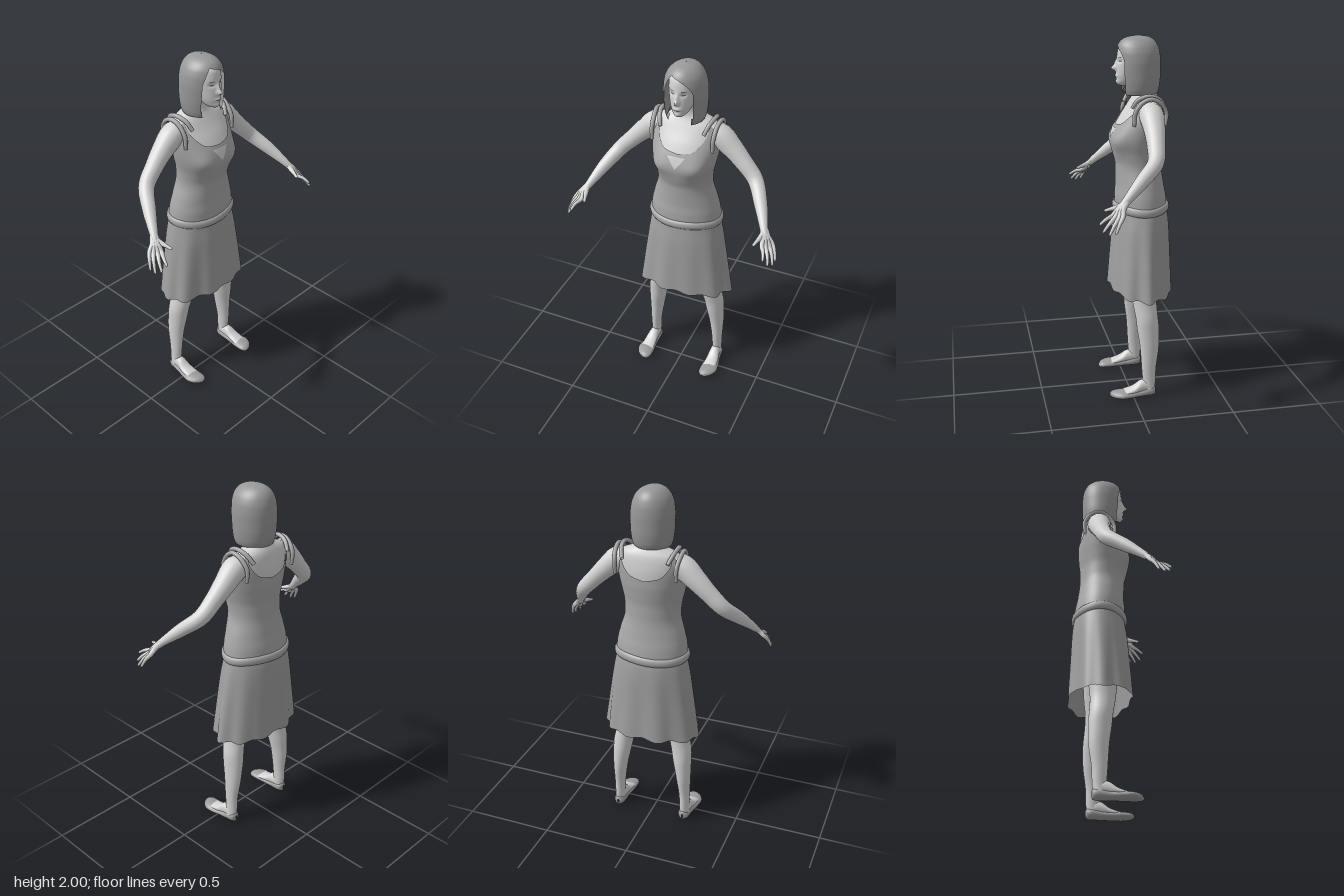
import * as THREE from 'three';

const mat = (name, color, side = THREE.FrontSide) =>
  Object.assign(new THREE.MeshStandardMaterial({ color, side }), { name });

// Smooth interpolation through rows [t, a, b, ...] with limited slopes
function interp(rows, t) {
  const n = rows.length;
  t = Math.min(Math.max(t, rows[0][0]), rows[n - 1][0]);
  let i = 0;
  while (i < n - 2 && t > rows[i + 1][0]) i++;
  const h = rows[i + 1][0] - rows[i][0], s = (t - rows[i][0]) / h;
  const sec = (k, j) => (rows[k + 1][j] - rows[k][j]) / (rows[k + 1][0] - rows[k][0]);
  const slope = (k, j) => {
    if (k === 0) return sec(0, j);
    if (k === n - 1) return sec(n - 2, j);
    const a = sec(k - 1, j), b = sec(k, j);
    return a * b <= 0 ? 0 : (2 * a * b) / (a + b);
  };
  return rows[0].slice(1).map((_, q) => {
    const j = q + 1, p0 = rows[i][j], p1 = rows[i + 1][j];
    return p0 * (1 + 2 * s) * (1 - s) ** 2 + slope(i, j) * h * s * (1 - s) ** 2
      + p1 * s * s * (3 - 2 * s) + slope(i + 1, j) * h * s * s * (s - 1);
  });
}

// Surface from fn(u, v) -> [x, y, z]; u runs around, v upward
function grid(fn, nu, nv, closed = true) {
  const pos = [], idx = [], w = closed ? nu : nu + 1;
  for (let j = 0; j <= nv; j++)
    for (let i = 0; i < w; i++) pos.push(...fn(i / nu, j / nv));
  for (let j = 0; j < nv; j++)
    for (let i = 0; i < nu; i++) {
      const a = j * w + i, b = j * w + (i + 1) % w;
      idx.push(a, b, b + w, a, b + w, a + w);
    }
  const g = new THREE.BufferGeometry();
  g.setAttribute('position', new THREE.Float32BufferAttribute(pos, 3));
  g.setIndex(idx);
  g.computeVertexNormals();
  return g;
}

// Point on a body of rings [y, halfWidth, zFront, zBack, centreX]; angle 0 faces front
function ringPoint(rings, y, th, off = 0, scale = 1) {
  const [rx, zf, zb, cx = 0] = interp(rings, y), cz = (zf + zb) / 2;
  return [cx + (rx * scale + off) * Math.sin(th), y, cz + ((zf - zb) / 2 * scale + off) * Math.cos(th)];
}
const loft = (rings, nu = 32, nv = 40) => grid((u, v) =>
  ringPoint(rings, THREE.MathUtils.lerp(rings[0][0], rings.at(-1)[0], v), u * Math.PI * 2), nu, nv);

// Tapered tube through points [x, y, z, radius]
function limb(pts, seg = 20, sides = 12) {
  const curve = new THREE.CatmullRomCurve3(pts.map(p => new THREE.Vector3(p[0], p[1], p[2])));
  const g = new THREE.TubeGeometry(curve, seg, 1, sides);
  const radii = pts.map((p, i) => [i / (pts.length - 1), p[3]]);
  const P = g.attributes.position, v = new THREE.Vector3();
  for (let i = 0; i <= seg; i++) {
    const c = curve.getPointAt(i / seg), r = interp(radii, curve.getUtoTmapping(i / seg))[0];
    for (let j = 0; j <= sides; j++) {
      const k = i * (sides + 1) + j;
      v.fromBufferAttribute(P, k).sub(c).multiplyScalar(r).add(c);
      P.setXYZ(k, v.x, v.y, v.z);
    }
  }
  return g;
}

const BODY = [
  [1.0, .19, .05, -.21], [1.07, .195, .055, -.215], [1.13, .19, .055, -.21], [1.2, .174, .05, -.197],
  [1.31, .146, .052, -.185], [1.37, .15, .066, -.185], [1.44, .165, .078, -.192], [1.5, .176, .064, -.197],
  [1.56, .182, .035, -.197], [1.62, .18, -.005, -.19], [1.66, .16, -.03, -.18], [1.68, .115, -.042, -.17],
  [1.7, .075, -.05, -.16], [1.73, .055, -.052, -.152], [1.8, .05, -.05, -.15]];
const HEAD = [
  [1.735, .006, .03, .0], [1.742, .026, .046, -.03], [1.76, .043, .052, -.06], [1.8, .061, .055, -.1],
  [1.85, .073, .053, -.14], [1.89, .078, .05, -.155], [1.93, .074, .043, -.155], [1.96, .058, .022, -.14], [1.985, .01, -.05, -.07]];
const LEG = [
  [.03, .03, -.05, -.12, .207], [.08, .028, -.055, -.128, .205], [.15, .03, -.05, -.13, .204], [.3, .042, -.04, -.148, .196],
  [.4, .052, -.026, -.15, .186], [.46, .057, -.02, -.145, .18], [.55, .058, -.005, -.14, .162], [.65, .062, .005, -.15, .15], [.95, .08, .02, -.17, .1]];
// Feet run along z: [z, halfWidth, -bottom, -top, centreX]
const FOOT = [
  [-.12, .02, -.02, -.05, .205], [-.08, .029, -.02, -.1, .205], [-.05, .031, -.02, -.098, .206],
  [0, .037, -.02, -.066, .209], [.06, .04, -.02, -.043, .208], [.1, .02, -.02, -.03, .2]];
const SHOE = [
  [-.131, .004, -.02, -.045, .205], [-.126, .022, -.005, -.058, .205], [-.1, .034, 0, -.06, .205], [-.04, .037, 0, -.047, .208],
  [.02, .046, 0, -.044, .212], [.06, .051, 0, -.046, .212], [.1, .043, -.002, -.042, .205], [.124, .024, -.006, -.034, .197], [.133, .004, -.014, -.022, .194]];
const SKIRT = [
  [.57, .277, .1, -.248], [.8, .245, .085, -.24], [.95, .222, .074, -.235], [1.03, .206, .063, -.228], [1.09, .192, .056, -.214]];
const HAIR = [
  [1.69, .1, .035, -.168], [1.72, .109, .043, -.178], [1.78, .115, .05, -.185], [1.85, .116, .054, -.186], [1.9, .111, .054, -.183],
  [1.94, .098, .048, -.173], [1.97, .076, .03, -.155], [1.99, .046, -.003, -.125], [2.0, .002, -.063, -.067]];
// Height of the dress edge by angle from the front
const NECKLINE = [
  [0, 1.53], [.4, 1.54], [.75, 1.6], [.95, 1.665], [1.15, 1.63], [1.35, 1.56], [1.6, 1.54],
  [1.85, 1.56], [2, 1.63], [2.15, 1.665], [2.4, 1.6], [2.7, 1.55], [3.15, 1.53]];

// Torso surface with the bust added
function torso(y, th, off = 0) {
  const a = Math.atan2(Math.sin(th), Math.cos(th));
  const bust = .018 * Math.exp(-(((Math.abs(a) - .62) / .36) ** 2) - ((y - 1.45) / .06) ** 2);
  return ringPoint(BODY, y, th, off + bust);
}

export function createModel() {
  const skin = mat('light grey skin', 0xd2d2d2), shoeMat = mat('shoe grey', 0x9c9c9c);
  const cloth = mat('dress grey', 0xa8a8a8, THREE.DoubleSide), skirtMat = mat('skirt grey', 0x9f9f9f, THREE.DoubleSide);
  const hairMat = mat('hair grey', 0x989898, THREE.DoubleSide), dark = mat('dark grey features', 0x6c6c6c, THREE.DoubleSide);
  const root = new THREE.Group();
  const add = (name, geo, m, parent = root) => {
    const mesh = new THREE.Mesh(geo, m);
    mesh.name = name;
    parent.add(mesh);
    return mesh;
  };
  const TAU = Math.PI * 2;

  // Torso, dress bodice and keyhole
  add('torso', grid((u, v) => torso(1 + .8 * v, u * TAU), 48, 60), skin);
  add('bodice', grid((u, v) => {
    const a = Math.abs(u > .5 ? u - 1 : u) * TAU;
    return torso(1.03 + (interp(NECKLINE, a)[0] - 1.03) * v, u * TAU, .008);
  }, 96, 48), cloth);
  add('keyhole', grid((u, v) => torso(1.45 + .065 * v, (u - .5) * (.03 + .5 * v), .011), 10, 8, false), skin);

  // Pleated skirt and rolled hip sash
  add('skirt', grid((u, v) => {
    const th = u * TAU, hem = .582 + .028 * Math.cos(th) ** 2 * (Math.cos(th) > 0 ? 1 : .4) + .006 * Math.cos(10 * th);
    const y = hem + (1.08 - hem) * v;
    const fold = (1 - v) ** .8 * (.028 * Math.cos(10 * th + Math.PI) + .022 * Math.cos(7 * th + 1));
    return ringPoint(SKIRT, y, th, 0, 1 + fold);
  }, 120, 24), skirtMat);
  add('hipSash', grid((u, v) => {
    const th = u * TAU, b = v * TAU, p = ringPoint(SKIRT, 1.072, th, .004 - .014 * Math.cos(b));
    p[1] += -.024 * Math.sin(b) + .004 * Math.sin(3 * th);
    return p;
  }, 64, 12), cloth);

  // Head and face
  add('head', grid((u, v) => {
    const p = ringPoint(HEAD, 1.735 + .25 * v, u * TAU);
    if (p[2] > 0) {
      const bump = (x, y, sx, sy, h) => h * Math.exp(-(((Math.abs(p[0]) - x) / sx) ** 2) - ((p[1] - y) / sy) ** 2);
      p[2] += bump(0, 1.828, .011, .014, .026) + bump(0, 1.852, .009, .02, .012) + bump(0, 1.788, .02, .009, .007)
        + bump(0, 1.755, .02, .012, .006) - bump(.03, 1.868, .016, .011, .008);
    }
    return p;
  }, 80, 64), skin);
  const onFace = (x, y, lift) => {
    const [rx, zf, zb] = interp(HEAD, y);
    return [x, y, (zf + zb) / 2 + (zf - zb) / 2 * Math.sqrt(1 - (x / rx) ** 2) + lift];
  };
  const plate = (x0, y0, w, h, lift) => grid((u, v) => {
    const s = u * 2 - 1;
    return onFace(x0 + w * s, y0 + h * (v * 2 - 1) * Math.sqrt(1 - s * s), lift);
  }, 12, 2, false);
  for (const s of [-1, 1]) {
    add('eye', plate(s * .03, 1.867, .012, .004, -.004), dark);
    add('eyebrow', plate(s * .032, 1.887, .015, .002, .002), dark);
  }
  add('mouth', plate(0, 1.786, .018, .0025, .008), dark);

  // Bob haircut with an off-centre parting; the edges part below the hairline
  const edge = [[1.69, .062], [1.75, .074], [1.86, .076], [1.9, .062], [1.94, .015], [1.957, -.036]];
  const edgeR = [[1.69, .068], [1.75, .082], [1.86, .08], [1.92, .062], [1.957, .04]];
  add('hair', grid((u, v) => {
    const inner = v < .1, y = inner ? 1.69 + .03 * (1 - v / .1) : 1.69 + .31 * Math.sin((v - .1) / .9 * Math.PI / 2);
    const rx = interp(HAIR, y)[0], ang = x => Math.asin(Math.max(-.9, Math.min(.9, x / rx)));
    const part = Math.asin(-.038 / .089);
    const a = y >= 1.957 ? part : ang(interp(edge, y)[0]);
    const b = TAU + (y >= 1.957 ? part : ang(-interp(edgeR, y)[0]));
    return ringPoint(HAIR, y, a + (b - a) * u, 0, inner ? .82 + 1.8 * v : 1);
  }, 64, 60, false), hairMat);

  // Arms, hands, straps, legs and shoes, mirrored
  const fingers = [ // knuckle, then tip
    [.526, 1.165, .172, .556, 1.128, .243], [.543, 1.16, .162, .58, 1.095, .23],
    [.558, 1.16, .146, .598, 1.083, .202], [.568, 1.166, .128, .602, 1.09, .17]];
  for (const s of [1, -1]) {
    const side = new THREE.Group();
    side.name = s > 0 ? 'leftSide' : 'rightSide';
    side.scale.x = s;
    root.add(side);
    add('arm', limb([[.1, 1.62, -.1, .04], [.18, 1.595, -.1, .066], [.25, 1.535, -.1, .057], [.32, 1.465, -.093, .048],
      [.392, 1.39, -.075, .043], [.455, 1.31, .01, .036], [.51, 1.225, .102, .022], [.525, 1.2, .125, .018]], 40, 20), skin, side);
    fingers.forEach(([x, y, z, X, Y, Z]) => add('finger', limb([
      [.512 + (x - .545) * .35, 1.225, .105 + (z - .15) * .3, .013], [(x + .517) / 2, 1.193, (z + .115) / 2, .015], [x, y, z, .0125],
      [(x + X) / 2 + .004, (y + Y) / 2 + .006, (z + Z) / 2, .0095], [X, Y, Z, .006], [X, Y - .003, Z + .002, .0005]], 20, 10), skin, side));
    add('thumb', limb([[.513, 1.22, .11, .013], [.507, 1.2, .145, .014], [.497, 1.19, .178, .01], [.487, 1.18, .207, .007], [.486, 1.179, .21, .0005]], 14, 10), skin, side);
    add('innerStrap', limb([[.122, 1.63, -.008, .01], [.138, 1.675, -.04, .012], [.15, 1.693, -.095, .012],
      [.143, 1.675, -.15, .012], [.125, 1.63, -.187, .01]], 24, 10), cloth, side);
    add('outerStrap', limb([[.172, 1.54, -.01, .009], [.172, 1.61, -.015, .012], [.175, 1.665, -.055, .012], [.18, 1.682, -.1, .012],
      [.177, 1.66, -.15, .012], [.17, 1.61, -.182, .012], [.168, 1.54, -.178, .009]], 32, 10), cloth, side);
    add('leg', loft(LEG, 28, 40), skin, side);
    add('foot', loft(FOOT, 24, 20).rotateX(Math.PI / 2), skin, side);
    add('shoe', loft(SHOE, 28, 40).rotateX(Math.PI / 2), shoeMat, side);
  }
  return root;
}
